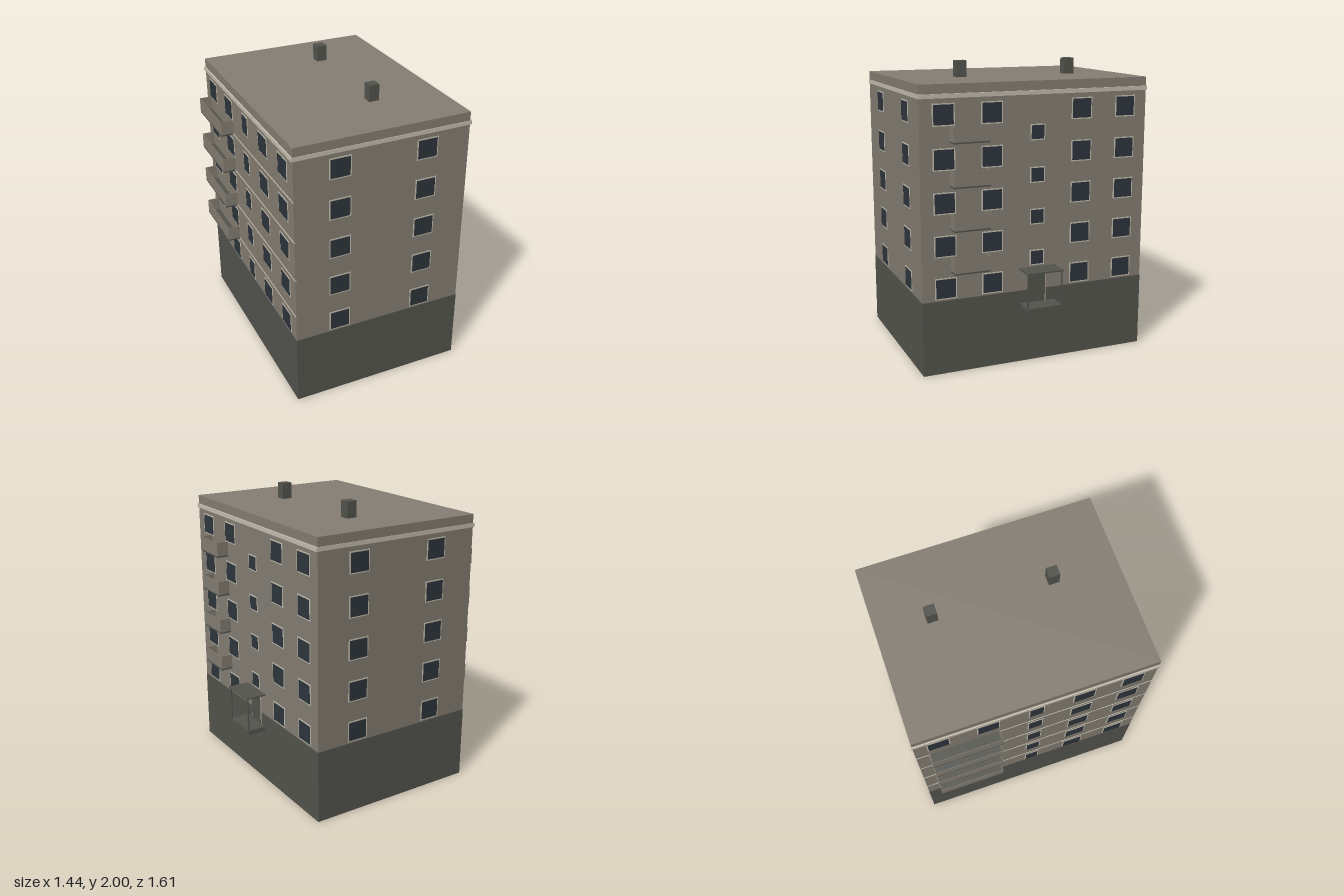
import * as THREE from 'three';

const mat = (name, color) => {
  const m = new THREE.MeshStandardMaterial({ color });
  m.name = name;
  return m;
};

export function createModel() {
  const wall = mat('plaster', 0x867f74);
  const dark = mat('dark concrete', 0x55554f);
  const glass = mat('window glass', 0x2e363d);
  const trim = mat('pale trim', 0xc6c0b0);

  const X0 = -0.635, X1 = 0.57, Z = 0.798, FLOOR = 0.28;
  const model = new THREE.Group();
  model.name = 'apartmentBlock';

  // Box given by its minimum and maximum corners
  const box = (parent, name, material, [ax, ay, az], [bx, by, bz]) => {
    const m = new THREE.Mesh(new THREE.BoxGeometry(bx - ax, by - ay, bz - az), material);
    m.position.set((ax + bx) / 2, (ay + by) / 2, (az + bz) / 2);
    m.name = name;
    parent.add(m);
    return m;
  };

  // Main volumes
  box(model, 'basement', dark, [X0 - 0.002, 0, -0.8], [X1 + 0.002, 0.5, 0.8]);
  box(model, 'walls', wall, [X0, 0.5, -Z], [X1, 1.89, Z]);
  box(model, 'cornice', trim, [X0 - 0.01, 1.803, -0.802], [X1 + 0.011, 1.83, 0.802]);

  // Chimneys
  for (const z of [-0.437, 0.362])
    box(model, 'chimney', dark, [0.067, 1.885, z - 0.035], [0.137, 2, z + 0.035]);

  // Framed window facing +z, turned to suit its wall
  const addWindow = (x, y, z, turn, w, h) => {
    const g = new THREE.Group();
    g.name = 'window';
    box(g, 'windowFrame', trim, [-w / 2, -h / 2, -0.004], [w / 2, h / 2, 0.003]);
    const e = 0.008;
    box(g, 'windowPane', glass, [e - w / 2, e - h / 2, 0], [w / 2 - e, h / 2 - e, 0.005]);
    g.position.set(x, y, z);
    g.rotation.y = turn;
    model.add(g);
  };

  for (let i = 0; i < 5; i++) {
    const y = 0.581 + i * FLOOR;
    for (const x of [-0.328, 0.27]) {
      addWindow(x, y, Z, 0, 0.148, 0.142);
      addWindow(x, y, -Z, Math.PI, 0.148, 0.142);
    }
    for (const z of [-0.64, -0.317, 0.317, 0.64]) {
      addWindow(X1, y, z, Math.PI / 2, 0.148, 0.142);
      addWindow(X0, y, z, -Math.PI / 2, 0.148, 0.142);
    }
    addWindow(X0, y, 0, -Math.PI / 2, 0.104, 0.142);
    // Stairwell windows sit between floors
    if (i < 4) addWindow(X1, 0.72 + i * FLOOR, 0, Math.PI / 2, 0.104, 0.106);
  }

  // Open balcony: dark slab with three thin parapets
  const addBalcony = (wallX, side, depth, y, z0, z1) => {
    const g = new THREE.Group();
    g.name = 'balcony';
    const t = 0.003, top = 0.106;
    const span = (name, material, a, b, y0, y1, za, zb) => {
      const p = wallX + side * a, q = wallX + side * b;
      box(g, name, material, [Math.min(p, q), y0, za], [Math.max(p, q), y1, zb]);
    };
    span('balconySlab', dark, -0.005, depth, y, y + 0.01, z0, z1);
    span('balconyFront', wall, depth - t, depth, y + 0.01, y + top, z0, z1);
    span('balconyEnd', wall, 0, depth - t, y + 0.01, y + top, z0, z0 + t);
    span('balconyEnd', wall, 0, depth - t, y + 0.01, y + top, z1 - t, z1);
    model.add(g);
  };

  for (let i = 0; i < 4; i++) {
    const y = 0.686 + i * FLOOR;
    addBalcony(X1, 1, 0.082, y, 0.36, 0.603);
    addBalcony(X0, -1, 0.086, y, -0.711, -0.25);
    // Floor line along the balcony side
    box(model, 'floorBand', trim, [X0 - 0.003, y, -Z], [X0 + 0.01, y + 0.009, Z]);
  }

  // Entrance porch
  const porch = new THREE.Group();
  porch.name = 'porch';
  box(porch, 'porchStep', dark, [X1, 0.373, -0.11], [0.697, 0.41, 0.11]);
  box(porch, 'porchPlate', dark, [X1, 0.408, -0.125], [0.707, 0.413, 0.125]);
  box(porch, 'canopy', dark, [X1, 0.648, -0.13], [0.717, 0.657, 0.13]);
  for (const z of [-0.122, 0.122])
    box(porch, 'porchPost', dark, [0.7, 0.41, z - 0.004], [0.708, 0.65, z + 0.004]);
  model.add(porch);

  // Entrance door with clipped upper corners inside a pale surround
  const doorPanel = (name, material, w, h, depth) => {
    const s = new THREE.Shape([
      [-w, 0], [w, 0], [w, h - 0.014], [w - 0.014, h - 0.014], [w - 0.014, h],
      [0.014 - w, h], [0.014 - w, h - 0.014], [-w, h - 0.014],
    ].map(([x, y]) => new THREE.Vector2(x, y)));
    const m = new THREE.Mesh(new THREE.ExtrudeGeometry(s, { depth, bevelEnabled: false }), material);
    m.position.set(X1, 0.41, 0);
    m.rotation.y = Math.PI / 2;
    m.name = name;
    model.add(m);
  };
  doorPanel('doorSurround', trim, 0.066, 0.226, 0.004);
  doorPanel('door', dark, 0.059, 0.216, 0.007);

  return model;
}
